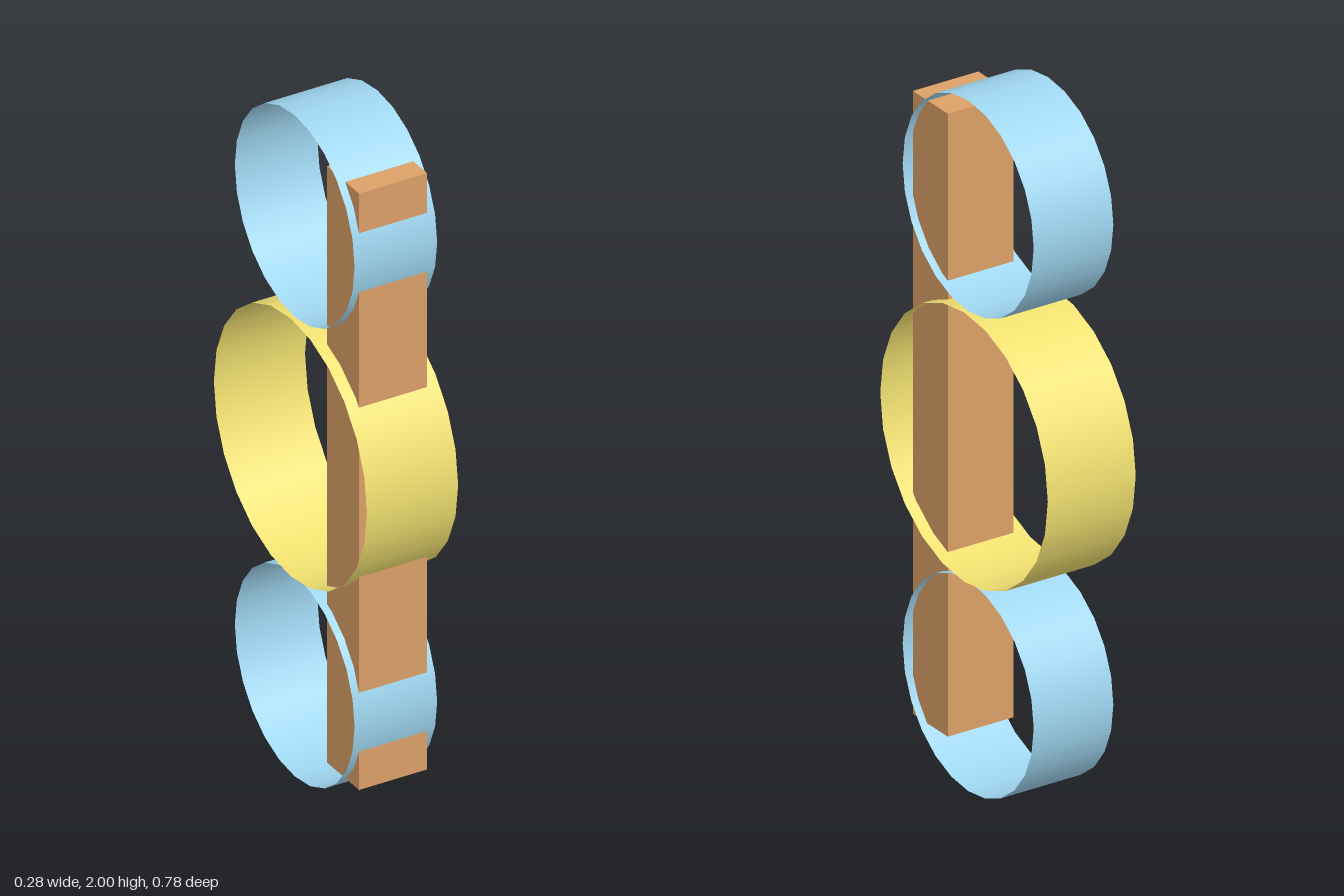
import * as THREE from 'three';

const material = (color, side = THREE.FrontSide) =>
  new THREE.MeshStandardMaterial({ color, side });

// Thin open band whose axis runs along x
function band(name, radius, width, y, mat) {
  const geometry = new THREE.CylinderGeometry(radius, radius, width, 24, 1, true);
  geometry.rotateZ(Math.PI / 2);
  const mesh = new THREE.Mesh(geometry, mat);
  mesh.name = name;
  mesh.position.y = y;
  return mesh;
}

export function createModel() {
  const model = new THREE.Group();
  model.name = 'ringStack';

  const blue = material(0x9fd6f0, THREE.DoubleSide);
  const yellow = material(0xf0e070, THREE.DoubleSide);
  const wood = material(0xdba067);

  // Three touching bands, the middle one larger and wider
  model.add(band('lowerRing', 0.305, 0.25, 0.305, blue));
  model.add(band('middleRing', 0.39, 0.276, 1.0, yellow));
  model.add(band('upperRing', 0.305, 0.25, 1.695, blue));

  // Upright bar passing through the front of the bands
  const bar = new THREE.Mesh(new THREE.BoxGeometry(0.206, 1.804, 0.163), wood);
  bar.name = 'uprightBar';
  bar.position.set(0, 1.002, 0.209);
  model.add(bar);

  return model;
}
